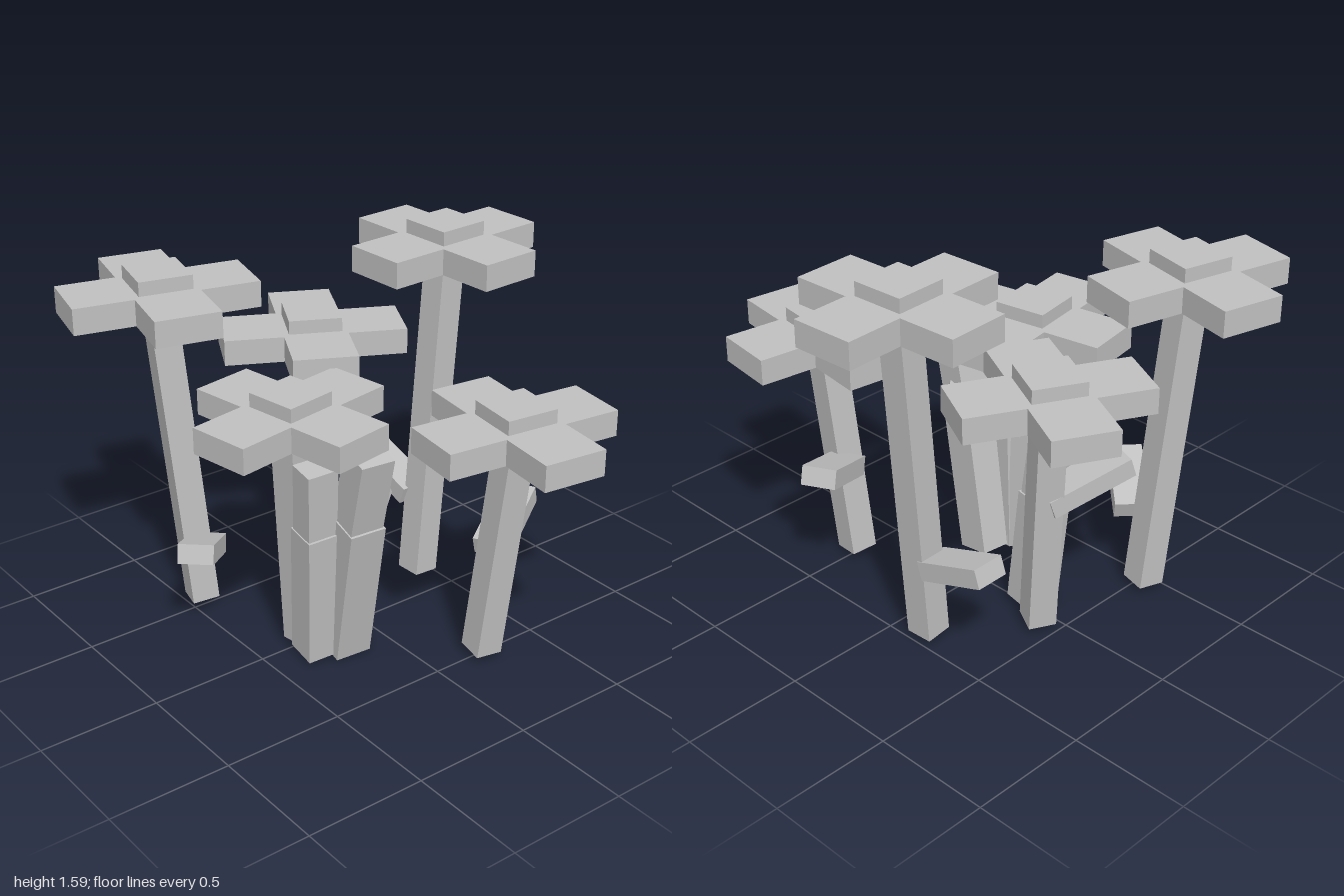
import * as THREE from 'three';

const ARM = 0.378, HALF = 0.133; // petal reach and half width

export function createModel() {
  const model = new THREE.Group();
  const grey = new THREE.MeshStandardMaterial({ color: 0xc0c0c0 });
  grey.name = 'plain grey';
  const vec = (p) => new THREE.Vector3(...p);

  function add(parent, name, geometry) {
    const mesh = new THREE.Mesh(geometry, grey);
    mesh.name = name;
    parent.add(mesh);
    return mesh;
  }

  // Upright bar with a rectangular section between two points
  function bar(parent, name, from, to, width, depth, yaw = 0) {
    const a = vec(from), b = vec(to), dir = b.clone().sub(a);
    const mesh = add(parent, name, new THREE.BoxGeometry(width, dir.length(), depth));
    mesh.position.copy(a).lerp(b, 0.5);
    mesh.quaternion.setFromUnitVectors(new THREE.Vector3(0, 1, 0), dir.normalize());
    mesh.rotateY(yaw);
  }

  // Flat slab pointing from the stem outwards, level across its width
  function leaf(parent, from, to) {
    const a = vec(from), b = vec(to);
    const mesh = add(parent, 'leaf', new THREE.BoxGeometry(0.145, 0.08, a.distanceTo(b)));
    mesh.position.copy(a).lerp(b, 0.5);
    mesh.lookAt(b);
  }

  // Cross of four petals, extruded upwards
  const cross = new THREE.Shape([
    [HALF, HALF], [HALF, ARM], [-HALF, ARM], [-HALF, HALF], [-ARM, HALF], [-ARM, -HALF],
    [-HALF, -HALF], [-HALF, -ARM], [HALF, -ARM], [HALF, -HALF], [ARM, -HALF], [ARM, HALF],
  ].map(([x, y]) => new THREE.Vector2(x, y)));
  const petalGeometry = new THREE.ExtrudeGeometry(cross, { depth: 0.108, bevelEnabled: false });
  petalGeometry.rotateX(-Math.PI / 2);
  const centreGeometry = new THREE.BoxGeometry(0.22, 0.176, 0.22);

  // head: underside centre of the petals, root: foot of the stem
  const flowers = [
    { name: 'frontFlower', head: [0.27, 0.962, 0.60], root: [0.225, 0.025, 0.505], yaw: -0.132,
      leaf: [[0.27, 0.46, 0.49], [0.55, 0.57, 0.345]] },
    { name: 'tallLeftFlower', head: [0.548, 1.425, -0.153], root: [0.43, 0.025, -0.15], yaw: 0.05,
      leaf: [[0.45, 0.37, -0.2], [0.445, 0.475, -0.505]] },
    { name: 'rightFlower', head: [-0.36, 0.985, 0.033], root: [-0.29, 0.025, -0.005], yaw: 0.17,
      leaf: [[-0.29, 0.62, 0.02], [-0.075, 0.73, 0.255]] },
    { name: 'tallRightFlower', head: [-0.535, 1.328, -0.60], root: [-0.44, 0.025, -0.535], yaw: -0.245,
      leaf: [[-0.45, 0.32, -0.45], [-0.65, 0.43, -0.23]] },
    { name: 'backFlower', head: [0.13, 1.03, -0.50], root: [0.07, 0.025, -0.41], yaw: -0.48,
      leaf: [[0.1, 0.61, -0.46], [-0.22, 0.72, -0.585]] },
  ];
  for (const f of flowers) {
    const flower = new THREE.Group();
    flower.name = f.name;
    model.add(flower);

    const head = new THREE.Group();
    head.name = 'flowerHead';
    head.position.set(...f.head);
    head.rotation.y = f.yaw;
    flower.add(head);
    add(head, 'petals', petalGeometry);
    add(head, 'flowerCentre', centreGeometry).position.y = 0.078;

    bar(flower, 'stem', f.root, f.head, 0.115, 0.115, f.yaw);
    leaf(flower, ...f.leaf);
  }

  // Grass blades: a thick lower piece and a slimmer upper one
  const blades = [
    { root: [-0.185, 0.015, 0.125], bend: [-0.21, 0.64, 0.255], tip: [-0.215, 0.96, 0.33], size: 0.155 },
    { root: [-0.3, 0.015, 0.09], bend: [-0.33, 0.59, 0.14], tip: [-0.345, 0.88, 0.165], size: 0.14 },
    { root: [-0.02, 0.025, -0.295], bend: [-0.015, 0.55, -0.355], tip: [-0.015, 0.8, -0.39], size: 0.145 },
  ];
  for (const b of blades) {
    const blade = new THREE.Group();
    blade.name = 'grassBlade';
    model.add(blade);
    bar(blade, 'lowerBlade', b.root, b.bend, b.size, b.size, -0.1);
    bar(blade, 'upperBlade', b.bend, b.tip, b.size - 0.01, b.size - 0.02, -0.1);
  }
  return model;
}
